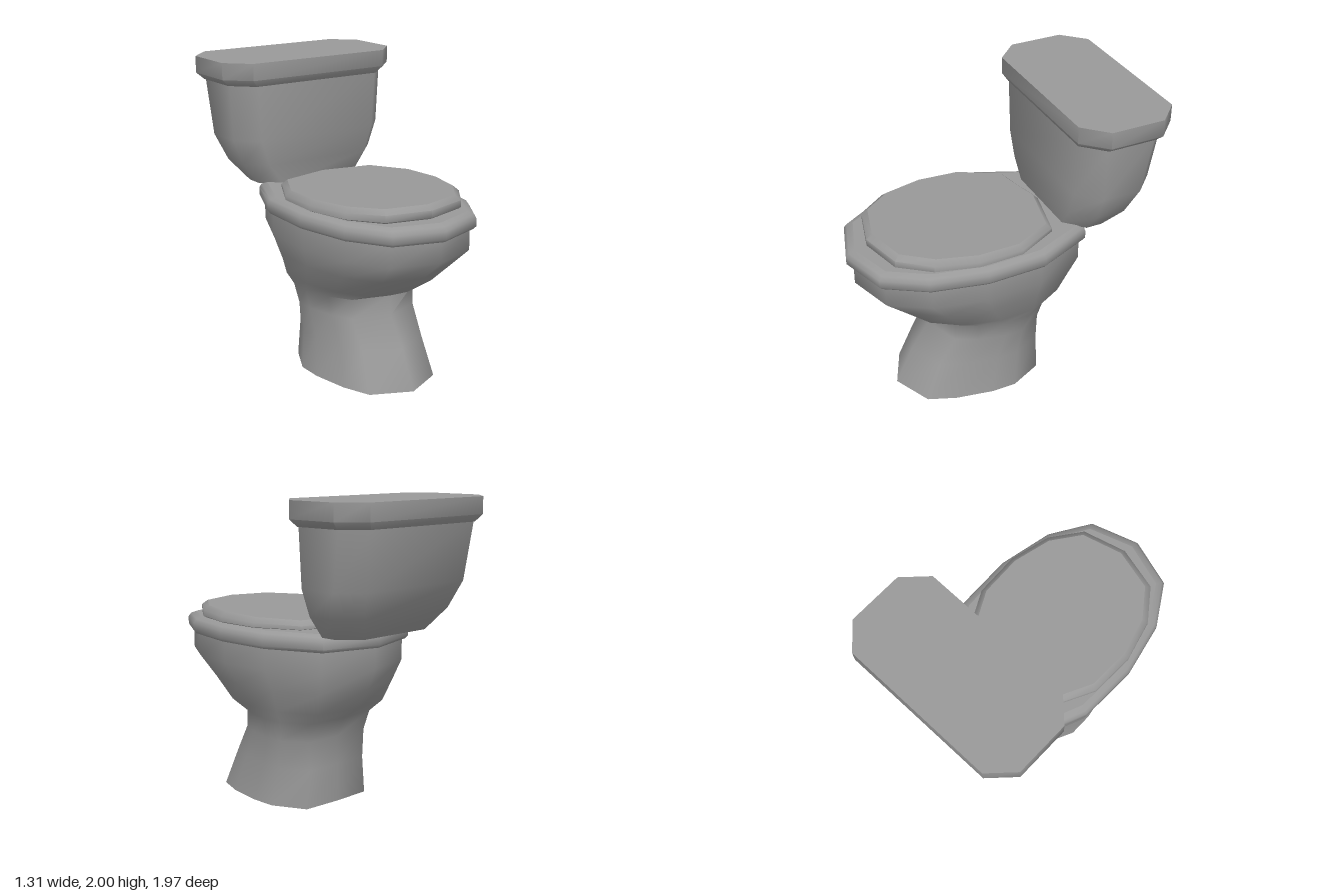
import * as THREE from 'three';
import { mergeGeometries, toCreasedNormals } from 'three/addons/utils/BufferGeometryUtils.js';

// Half outlines from front to back: x as a share of half width, depth from back (0) to front (1)
const OVAL = [[0, 1], [0.57, 0.937], [0.86, 0.774], [1, 0.547], [0.98, 0.3], [0.7, 0.07], [0, 0]];
const FOOT = [[0, 1], [0.69, 0.873], [0.88, 0.68], [1, 0.42], [1, 0.24], [0.72, 0.01], [0, 0]];

// Completes a half outline by mirroring it across x = 0
function mirrored(half) {
  const other = half.filter(([x]) => x > 0).map(([x, z]) => [-x, z]).reverse();
  return [...half, ...other];
}

// Rounded ring; blend goes from FOOT (0) to OVAL (1), tilt raises y towards the front
function ovalRing(y, w, front, back, blend = 1, tilt = 0) {
  const half = OVAL.map(([ox, oz], i) => {
    const x = THREE.MathUtils.lerp(FOOT[i][0], ox, blend);
    const u = THREE.MathUtils.lerp(FOOT[i][1], oz, blend);
    return [x * w, back + u * (front - back)];
  });
  return mirrored(half).map(([x, z]) => new THREE.Vector3(x, y + tilt * (z - front), z));
}

// Rectangular ring with cut corners
function cutRing(y, w, front, back, cut) {
  const half = [[w - cut, front], [w, front - cut], [w, back + cut], [w - cut, back]];
  return mirrored(half).map(([x, z]) => new THREE.Vector3(x, y, z));
}

// Skin through rings from bottom to top, with an optional flat top
function loft(rings, capped, crease = 1) {
  const n = rings[0].length;
  const index = [];
  for (let r = 0; r < rings.length - 1; r++) {
    for (let j = 0; j < n; j++) {
      const a = r * n + j, b = r * n + (j + 1) % n;
      index.push(a, b, b + n, a, b + n, a + n);
    }
  }
  const skin = new THREE.BufferGeometry().setFromPoints(rings.flat());
  skin.setIndex(index);
  const sides = toCreasedNormals(skin, crease);
  if (!capped) return sides;

  const top = rings[rings.length - 1];
  const fan = [];
  for (let j = 1; j < n - 1; j++) fan.push(top[0], top[j], top[j + 1]);
  const cap = new THREE.BufferGeometry().setFromPoints(fan);
  cap.computeVertexNormals();
  return mergeGeometries([sides, cap]);
}

export function createModel() {
  const model = new THREE.Group();
  model.name = 'toilet';
  const porcelain = new THREE.MeshStandardMaterial({ color: 0x999999, side: THREE.DoubleSide });
  porcelain.name = 'grey porcelain';

  const add = (name, geometry) => {
    const mesh = new THREE.Mesh(geometry, porcelain);
    mesh.name = name;
    model.add(mesh);
  };

  // Pedestal flaring into the bowl, open underneath
  add('pedestalAndBowl', loft([
    ovalRing(0, 0.375, 0.7, -0.245, 0),
    ovalRing(0.25, 0.342, 0.58, -0.245, 0),
    ovalRing(0.44, 0.355, 0.455, -0.245, 0),
    ovalRing(0.57, 0.38, 0.44, -0.3, 0.4),
    ovalRing(0.65, 0.43, 0.62, -0.42, 0.8),
    ovalRing(0.79, 0.47, 0.78, -0.51),
    ovalRing(0.93, 0.53, 0.94, -0.57),
    ovalRing(1.08, 0.53, 0.94, -0.57),
  ], false, 1.1));

  // Rounded rim
  add('rim', loft([
    ovalRing(1.07, 0.52, 0.93, -0.56),
    ovalRing(1.07, 0.545, 0.965, -0.595),
    ovalRing(1.09, 0.56, 0.985, -0.61),
    ovalRing(1.14, 0.56, 0.985, -0.61),
    ovalRing(1.165, 0.545, 0.965, -0.595),
    ovalRing(1.18, 0.51, 0.925, -0.555),
  ], true));

  // Closed seat lid, slightly higher at the front
  add('seatLid', loft([
    ovalRing(1.178, 0.49, 0.83, -0.335),
    ovalRing(1.19, 0.51, 0.845, -0.355, 1, 0.005),
    ovalRing(1.235, 0.51, 0.845, -0.355, 1, 0.025),
    ovalRing(1.265, 0.475, 0.805, -0.32, 1, 0.025),
  ], true));

  // Tank narrowing towards its foot
  add('tank', loft([
    cutRing(1.17, 0.4, -0.38, -0.73, 0.12),
    cutRing(1.31, 0.51, -0.375, -0.83, 0.13),
    cutRing(1.48, 0.575, -0.37, -0.9, 0.135),
    cutRing(1.85, 0.595, -0.365, -0.955, 0.135),
  ], false));

  // Tank lid with a bevelled lower edge
  add('tankLid', loft([
    cutRing(1.845, 0.58, -0.38, -0.94, 0.13),
    cutRing(1.845, 0.605, -0.365, -0.955, 0.135),
    cutRing(1.89, 0.655, -0.338, -0.985, 0.145),
    cutRing(2, 0.655, -0.338, -0.985, 0.145),
  ], true, 0.9));

  return model;
}
